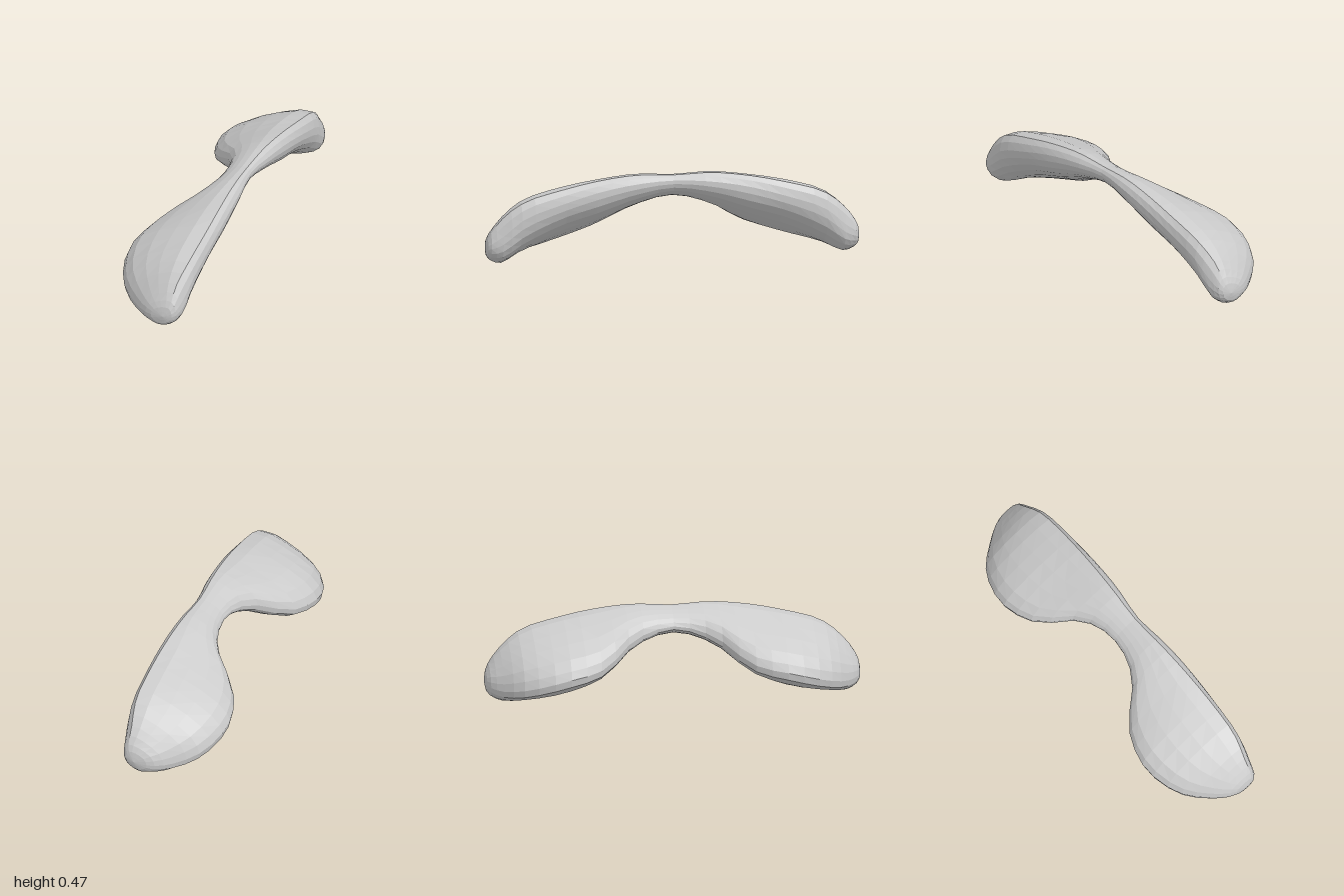
import * as THREE from 'three';

// Half of the body, from the waist (z = 0) outwards: z, then eight x,y points
// running clockwise from the ridge: top, right, lower right, underside, bottom, left, upper left, upper middle
const HALF = [
  [0.00, [0.18, 0.46, 0.203, 0.43, 0.19, 0.385, 0.135, 0.345, 0.08, 0.335, 0.04, 0.365, 0.055, 0.405, 0.11, 0.445]],
  [0.20, [0.19, 0.468, 0.226, 0.42, 0.205, 0.355, 0.13, 0.30, 0.05, 0.28, -0.005, 0.31, 0.01, 0.385, 0.09, 0.445]],
  [0.40, [0.20, 0.447, 0.237, 0.385, 0.21, 0.295, 0.085, 0.205, -0.08, 0.15, -0.185, 0.19, -0.16, 0.28, 0.02, 0.395]],
  [0.60, [0.205, 0.405, 0.238, 0.325, 0.205, 0.235, 0.075, 0.135, -0.11, 0.077, -0.242, 0.145, -0.21, 0.24, 0.0, 0.36]],
  [0.80, [0.20, 0.345, 0.232, 0.25, 0.20, 0.14, 0.075, 0.055, -0.06, 0.035, -0.178, 0.085, -0.155, 0.185, 0.01, 0.298]],
  [0.92, [0.175, 0.25, 0.212, 0.15, 0.20, 0.065, 0.125, 0.006, 0.03, 0.008, -0.055, 0.055, -0.04, 0.135, 0.06, 0.215]],
  [0.985, [0.165, 0.155, 0.187, 0.11, 0.17, 0.06, 0.125, 0.035, 0.085, 0.035, 0.045, 0.065, 0.055, 0.115, 0.11, 0.15]],
];
const TIP = [0.13, 0.09];
const RINGS = 34, SIDES = 18;

// Lengthwise curve through one point of every section, mirrored front to back
function track(j) {
  const front = HALF.map(([z, p]) => new THREE.Vector3(p[2 * j], p[2 * j + 1], z));
  front.push(new THREE.Vector3(TIP[0], TIP[1], 1));
  const back = front.slice(1).reverse().map((v) => new THREE.Vector3(v.x, v.y, -v.z));
  return new THREE.CatmullRomCurve3([...back, ...front]);
}

// Closed skin lofted over the tracks
function lobedSkin() {
  const tracks = Array.from({ length: 8 }, (_, j) => track(j));
  const positions = [], index = [];
  for (let i = 1; i < RINGS; i++) {
    const section = new THREE.CatmullRomCurve3(tracks.map((c) => c.getPoint(i / RINGS)), true);
    for (let k = 0; k < SIDES; k++) positions.push(...section.getPoint(k / SIDES).toArray());
  }
  const rings = RINGS - 1;
  const backTip = rings * SIDES, frontTip = backTip + 1;
  positions.push(TIP[0], TIP[1], -1, TIP[0], TIP[1], 1);
  for (let k = 0; k < SIDES; k++) {
    const n = (k + 1) % SIDES;
    for (let i = 0; i < rings - 1; i++) {
      const a = i * SIDES + k, b = i * SIDES + n;
      index.push(a, a + SIDES, b, b, a + SIDES, b + SIDES);
    }
    // rounded ends
    const last = (rings - 1) * SIDES;
    index.push(backTip, k, n, frontTip, last + n, last + k);
  }
  const geometry = new THREE.BufferGeometry();
  geometry.setAttribute('position', new THREE.Float32BufferAttribute(positions, 3));
  geometry.setIndex(index);
  geometry.computeVertexNormals();
  return geometry;
}

export function createModel() {
  const model = new THREE.Group();
  model.name = 'twoLobedForm';
  const material = new THREE.MeshStandardMaterial({ color: 0xcccccc, flatShading: true });
  const body = new THREE.Mesh(lobedSkin(), material);
  body.name = 'archedBody';
  model.add(body);
  return model;
}
